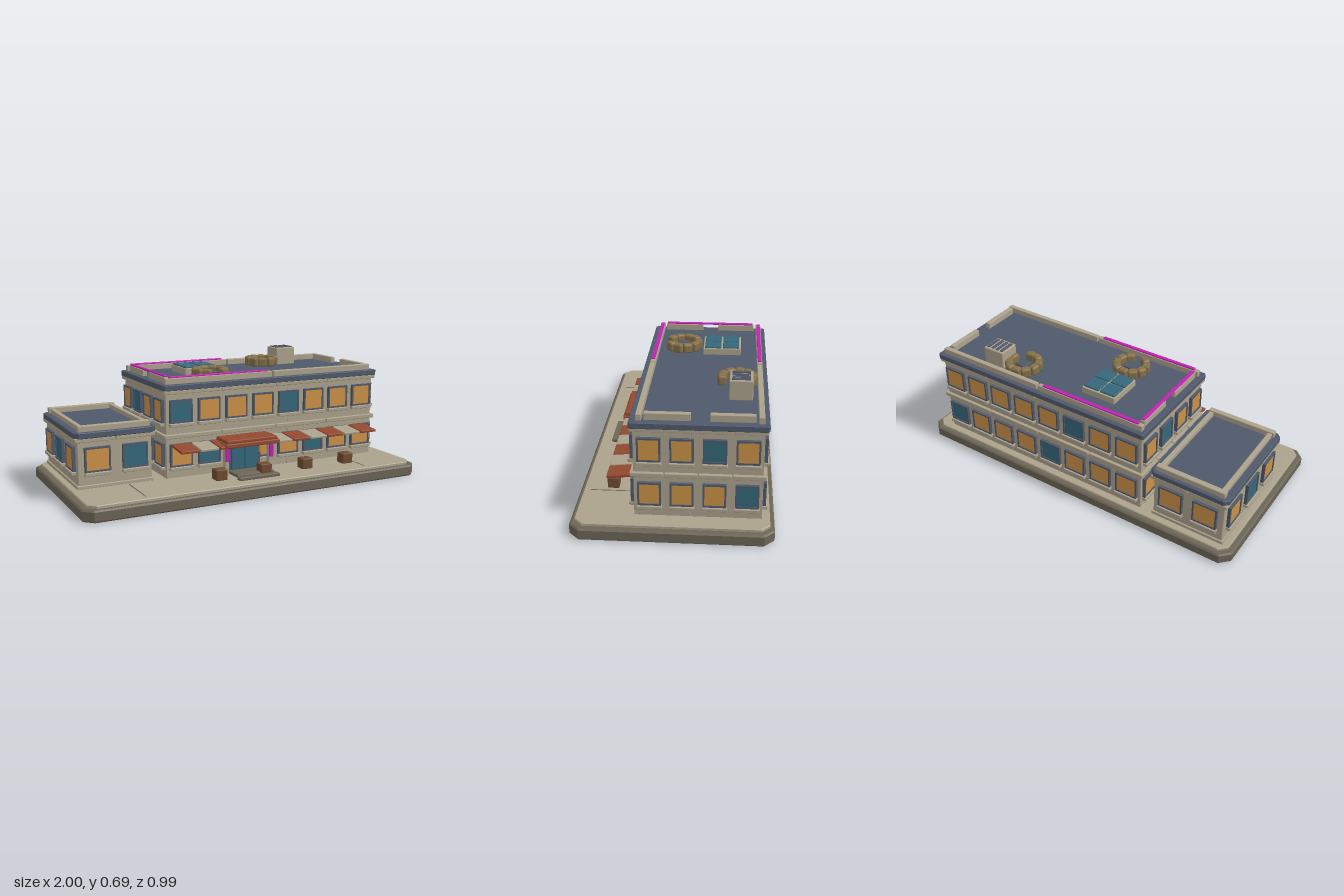
import * as THREE from 'three';
import { RoundedBoxGeometry } from 'three/addons/geometries/RoundedBoxGeometry.js';

function material(name, color) {
  const m = new THREE.MeshStandardMaterial({ color });
  m.name = name;
  return m;
}
const stone = material('pale stone', 0xaca28c);
const base = material('dark stone', 0x6b6555);
const slate = material('slate blue', 0x4f596b);
const amber = material('lit amber glass', 0xcb9147);
const teal = material('teal glass', 0x34677a);
const rust = material('rust awning', 0x93492f);
const brown = material('crate brown', 0x6f4b32);
const tan = material('sandbag tan', 0x857049);
const magenta = material('magenta trim', 0xc41fb8);

// Softly bevelled box given by its x, y and z ranges
function block(parent, name, mat, [x0, x1], [y0, y1], [z0, z1], bevel = 0.004) {
  const w = x1 - x0, h = y1 - y0, d = z1 - z0;
  const r = Math.min(bevel, w * 0.3, h * 0.3, d * 0.3);
  const mesh = new THREE.Mesh(new RoundedBoxGeometry(w, h, d, 1, r), mat);
  mesh.position.set((x0 + x1) / 2, (y0 + y1) / 2, (z0 + z1) / 2);
  mesh.name = name;
  parent.add(mesh);
  return mesh;
}

// Flat slab with cut corners
function slab(parent, name, mat, [x0, x1], [y0, y1], [z0, z1], cut, bevel) {
  const a = x0 + bevel, b = x1 - bevel, c = -z1 + bevel, d = -z0 - bevel;
  const s = new THREE.Shape([
    [a + cut, c], [b - cut, c], [b, c + cut], [b, d - cut],
    [b - cut, d], [a + cut, d], [a, d - cut], [a, c + cut],
  ].map(([x, y]) => new THREE.Vector2(x, y)));
  const g = new THREE.ExtrudeGeometry(s, {
    depth: y1 - y0 - 2 * bevel, bevelThickness: bevel, bevelSize: bevel, bevelSegments: 1,
  });
  g.rotateX(-Math.PI / 2);
  const mesh = new THREE.Mesh(g, mat);
  mesh.position.y = y0 + bevel;
  mesh.name = name;
  parent.add(mesh);
}

// Framed window with a sill, facing outward along its own +z
function addWindow(parent, x, y, z, turn, mat, w, h = 0.125) {
  const g = new THREE.Group();
  g.name = 'window';
  const rect = (T, a, b) => new T([[-a, -b], [a, -b], [a, b], [-a, b]].map(p => new THREE.Vector2(...p)));
  const frame = rect(THREE.Shape, w / 2, h / 2);
  frame.holes.push(rect(THREE.Path, w / 2 - 0.009, h / 2 - 0.009));
  const frameMesh = new THREE.Mesh(new THREE.ExtrudeGeometry(frame, { depth: 0.018, bevelEnabled: false }), slate);
  frameMesh.name = 'windowFrame';
  g.add(frameMesh);
  const pane = new THREE.Mesh(new THREE.BoxGeometry(w - 0.016, h - 0.016, 0.008), mat);
  pane.position.z = 0.009;
  pane.name = 'windowGlass';
  g.add(pane);
  block(g, 'windowSill', stone, [-w / 2 - 0.004, w / 2 + 0.004], [-h / 2 - 0.019, -h / 2], [0, 0.027]);
  g.position.set(x, y, z);
  g.rotation.y = turn;
  parent.add(g);
}

// Row of stone band pieces around a rectangular wall
function bandCourse(parent, x0, x1, z0, z1, y0, y1, nx, nz) {
  const out = 0.016, gap = 0.002;
  for (let i = 0; i < nx; i++) {
    const s = (x1 - x0 + 2 * out) / nx, a = x0 - out + i * s;
    for (const z of [z0, z1]) block(parent, 'stoneBand', stone, [a + gap, a + s - gap], [y0, y1], [z - out, z + out]);
  }
  for (let i = 0; i < nz; i++) {
    const s = (z1 - z0 + 2 * out) / nz, a = z0 - out + i * s;
    for (const x of [x0, x1]) block(parent, 'stoneBand', stone, [x - out, x + out], [y0, y1], [a + gap, a + s - gap]);
  }
}

// Letters for glass colours: A amber, T teal, blank for none
const glass = { A: amber, T: teal };

function buildSite(root) {
  slab(root, 'foundation', base, [-1, 1], [0, 0.062], [-0.497, 0.497], 0.045, 0.008);
  slab(root, 'pavement', stone, [-0.972, 0.972], [0.06, 0.08], [-0.475, 0.475], 0.04, 0.004);
  for (const x of [-0.665, 0.66]) block(root, 'pavementSeam', base, [x - 0.003, x + 0.003], [0.076, 0.082], [0.2, 0.44]);
  for (const x of [-0.2, 0.07, 0.335, 0.605])
    block(root, 'crate', brown, [x - 0.034, x + 0.034], [0.08, 0.14], [0.294, 0.355], 0.006);
}

function buildMainBlock(root) {
  const g = new THREE.Group();
  g.name = 'mainBuilding';
  root.add(g);
  // Walls in four blocks so fine joints show
  for (const [a, b] of [[-0.45, 0.296], [0.296, 0.877]])
    for (const [c, d] of [[-0.435, -0.09], [-0.09, 0.187]])
      block(g, 'wall', stone, [a, b], [0.078, 0.56], [c, d], 0.003);
  bandCourse(g, -0.45, 0.877, -0.435, 0.187, 0.297, 0.32, 4, 4);
  bandCourse(g, -0.45, 0.877, -0.435, 0.187, 0.537, 0.558, 4, 4);
  slab(g, 'roof', slate, [-0.468, 0.9], [0.556, 0.586], [-0.456, 0.204], 0.008, 0.002);
  // Windows: rows are lower then upper floor
  const floors = [0.205, 0.443];
  const front = ['AT AATAA', 'TAAATAAA'], back = ['TAAATAAA', 'AAAAATAA'];
  const right = ['AAAT', 'AATA'], left = ['AAAA', 'AATA'];
  floors.forEach((y, f) => {
    for (let i = 0; i < 8; i++) {
      const x = -0.366 + i * 0.166;
      if (front[f][i] !== ' ') addWindow(g, x, y, 0.186, 0, glass[front[f][i]], 0.13);
      addWindow(g, 0.796 - i * 0.166, y, -0.434, Math.PI, glass[back[f][i]], 0.13);
    }
    for (let i = 0; i < 4; i++) {
      const z = 0.111 - i * 0.157;
      addWindow(g, 0.876, y, z, Math.PI / 2, glass[right[f][i]], 0.114);
      addWindow(g, -0.449, y, z, -Math.PI / 2, glass[left[f][i]], 0.114);
    }
  });
  return g;
}

function buildEntrance(g) {
  block(g, 'doorSurround', slate, [-0.105, 0.105], [0.08, 0.25], [0.18, 0.222]);
  for (const x of [-0.042, 0.042]) {
    block(g, 'door', teal, [x - 0.04, x + 0.04], [0.095, 0.24], [0.22, 0.234]);
  }
  for (const s of [-1, 1]) {
    block(g, 'doorLamp', amber, [s * 0.105 - 0.012, s * 0.105 + 0.012], [0.175, 0.225], [0.215, 0.236]);
    block(g, 'canopyPost', stone, [s * 0.135 - 0.013, s * 0.135 + 0.013], [0.08, 0.25], [0.256, 0.284]);
    block(g, 'postBanner', magenta, [s * 0.135 - 0.013, s * 0.135 + 0.013], [0.16, 0.245], [0.283, 0.295]);
  }
  block(g, 'canopyEdge', rust, [-0.165, 0.165], [0.243, 0.267], [0.185, 0.335], 0.006);
  block(g, 'canopyTop', rust, [-0.155, 0.155], [0.265, 0.284], [0.185, 0.325], 0.006);
  block(g, 'upperStep', base, [-0.105, 0.125], [0.08, 0.097], [0.235, 0.35]);
  block(g, 'lowerStep', base, [-0.122, 0.124], [0.08, 0.097], [0.373, 0.41]);
  // Striped awnings, skipping the strips under the canopy
  for (let i = 0; i < 11; i++) {
    if (i === 3 || i === 4) continue;
    const x = -0.37 + i * 0.1135;
    const strip = block(g, 'awning', i % 2 ? stone : rust, [x - 0.053, x + 0.053], [0.247, 0.262], [0.195, 0.328], 0.004);
    strip.rotation.x = 0.1;
  }
}

function sandbagRing(g, cx, cz, gapAngle) {
  const count = 10;
  for (let i = 1; i < count; i++) {
    const a = gapAngle + (i / count) * Math.PI * 2;
    const x = cx + Math.cos(a) * 0.082, z = cz + Math.sin(a) * 0.082;
    const bag = block(g, 'sandbag', tan, [x - 0.022, x + 0.022], [0.585, 0.64], [z - 0.027, z + 0.027], 0.013);
    bag.rotation.y = -a;
  }
  block(g, 'equipmentBox', slate, [cx - 0.033, cx + 0.033], [0.585, 0.62], [cz - 0.033, cz + 0.033]);
}

function buildRoof(g) {
  // Parapets, with magenta caps on the left half
  for (const z of [-0.417, 0.158]) {
    block(g, 'parapet', stone, [-0.445, 0.205], [0.584, 0.619], [z - 0.014, z + 0.014]);
    block(g, 'parapet', stone, [0.215, 0.872], [0.584, 0.619], [z - 0.014, z + 0.014]);
    block(g, 'parapetCap', magenta, [-0.42, 0.175], [0.617, 0.627], [z - 0.01, z + 0.01]);
  }
  for (const [a, b] of [[-0.39, -0.177], [-0.087, 0.135]]) {
    block(g, 'parapet', stone, [0.833, 0.862], [0.584, 0.622], [a, b]);
    block(g, 'parapet', stone, [-0.437, -0.41], [0.584, 0.622], [a, b]);
  }
  block(g, 'parapetCap', magenta, [-0.433, -0.414], [0.62, 0.63], [-0.385, 0.13]);
  // Skylight
  block(g, 'skylightFrame', stone, [-0.205, 0], [0.584, 0.623], [-0.315, -0.105]);
  for (const x of [-0.153, -0.052]) for (const z of [-0.26, -0.16])
    block(g, 'skylightGlass', teal, [x - 0.046, x + 0.046], [0.62, 0.632], [z - 0.045, z + 0.045]);
  sandbagRing(g, -0.105, 0.01, Math.PI / 2);
  sandbagRing(g, 0.4, -0.3, Math.PI / 4);
  // Ventilation unit
  block(g, 'ventUnit', stone, [0.483, 0.613], [0.584, 0.69], [-0.378, -0.26], 0.006);
  for (let i = 0; i < 4; i++) {
    const x = 0.503 + i * 0.03;
    block(g, 'ventSlat', slate, [x - 0.009, x + 0.009], [0.686, 0.695], [-0.365, -0.273], 0.002);
  }
}

function buildAnnex(root) {
  const g = new THREE.Group();
  g.name = 'annex';
  root.add(g);
  block(g, 'annexWall', stone, [-0.93, -0.527], [0.078, 0.36], [-0.43, 0.172], 0.005);
  block(g, 'annexPlinth', stone, [-0.938, -0.519], [0.078, 0.098], [-0.438, 0.18]);
  bandCourse(g, -0.93, -0.527, -0.43, 0.172, 0.325, 0.347, 2, 3);
  slab(g, 'annexRoof', slate, [-0.948, -0.505], [0.345, 0.376], [-0.447, 0.192], 0.022, 0.003);
  for (const z of [-0.412, 0.153])
    block(g, 'annexParapet', stone, [-0.922, -0.532], [0.374, 0.407], [z - 0.016, z + 0.016]);
  for (const x of [-0.9, -0.552])
    block(g, 'annexParapet', stone, [x - 0.013, x + 0.013], [0.374, 0.402], [-0.396, 0.137]);
  addWindow(g, -0.827, 0.231, 0.171, 0, amber, 0.138, 0.13);
  addWindow(g, -0.623, 0.231, 0.171, 0, teal, 0.138, 0.13);
  for (const x of [-0.827, -0.63]) addWindow(g, x, 0.231, -0.429, Math.PI, amber, 0.138, 0.13);
  [amber, teal, amber].forEach((m, i) =>
    addWindow(g, -0.929, 0.231, -0.329 + i * 0.2, -Math.PI / 2, m, 0.13, 0.13));
}

export function createModel() {
  const root = new THREE.Group();
  root.name = 'guardedBuilding';
  buildSite(root);
  const main = buildMainBlock(root);
  buildEntrance(main);
  buildRoof(main);
  buildAnnex(root);
  return root;
}
